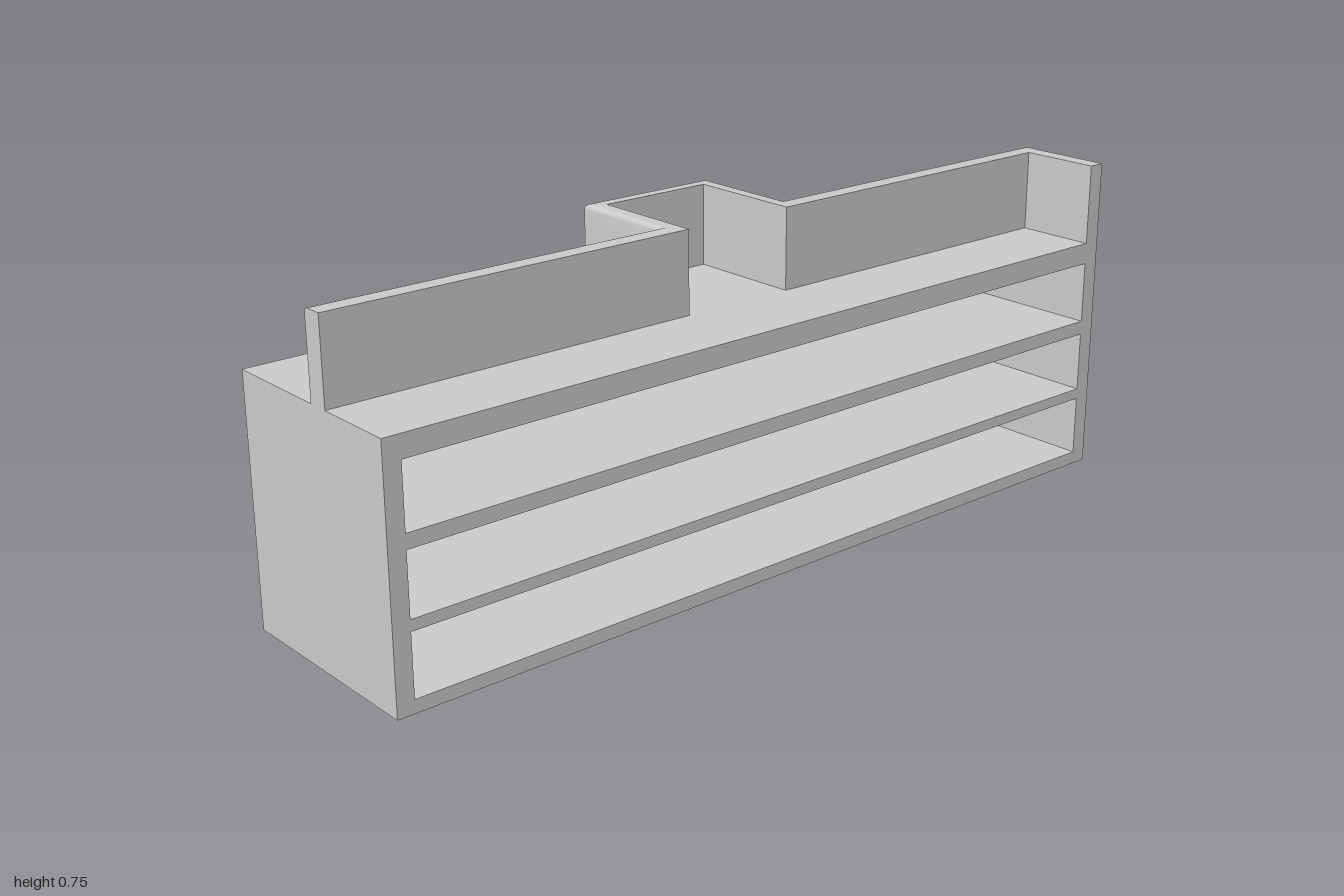
import * as THREE from 'three';
import { toCreasedNormals } from 'three/addons/utils/BufferGeometryUtils.js';

const material = new THREE.MeshStandardMaterial({ color: 0xcccccc });
const COUNTER = 0.562, TOP = 0.75, BACK = -0.215;

// Rectangle outline as a shape or a hole
function rect(target, x0, y0, x1, y1) {
  target.moveTo(x0, y0);
  target.lineTo(x1, y0);
  target.lineTo(x1, y1);
  target.lineTo(x0, y1);
  target.closePath();
  return target;
}

// Wall swept through stations [outerX, outerZ, innerX, innerZ, roundX, roundZ],
// with its outer top edge rounded by radius r
function wall(stations, y0, y1, r = 0) {
  const sections = stations.map(([ox, oz, ix, iz, dx, dz]) => {
    const pts = [[ox, y0, oz]];
    const steps = r > 0 ? 4 : 0;
    for (let k = 0; k <= steps; k++) {
      const a = steps ? (k / steps) * Math.PI / 2 : 0;
      const o = r * (1 - Math.cos(a));
      pts.push([ox + dx * o, y1 - r + r * Math.sin(a), oz + dz * o]);
    }
    pts.push([ix, y1, iz], [ix, y0, iz]);
    return pts;
  });
  const pos = [];
  const tri = (a, b, c) => pos.push(...a, ...b, ...c);
  const n = sections[0].length;
  for (let i = 0; i < sections.length - 1; i++) {
    for (let j = 0; j < n; j++) {
      const k = (j + 1) % n, s = sections[i], t = sections[i + 1];
      tri(s[j], s[k], t[k]);
      tri(s[j], t[k], t[j]);
    }
  }
  // End caps
  const first = sections[0], last = sections[sections.length - 1];
  for (let j = 1; j < n - 1; j++) {
    tri(first[0], first[j + 1], first[j]);
    tri(last[0], last[j], last[j + 1]);
  }
  const g = new THREE.BufferGeometry();
  g.setAttribute('position', new THREE.Float32BufferAttribute(pos, 3));
  g.computeVertexNormals();
  return toCreasedNormals(g, 0.6);
}

export function createModel() {
  const group = new THREE.Group();
  const add = (name, geometry) => {
    const mesh = new THREE.Mesh(geometry, material);
    mesh.name = name;
    group.add(mesh);
  };
  const box = (name, x0, x1, y0, y1, z0, z1) => add(name,
    new THREE.BoxGeometry(x1 - x0, y1 - y0, z1 - z0)
      .translate((x0 + x1) / 2, (y0 + y1) / 2, (z0 + z1) / 2));

  // Counter body with three long open shelves
  const face = rect(new THREE.Shape(), -1, 0, 1, COUNTER);
  for (const [y0, y1] of [[0.03, 0.17], [0.195, 0.335], [0.368, 0.512]]) {
    face.holes.push(rect(new THREE.Path(), -0.96, y0, 0.96, y1));
  }
  add('shelfBody', new THREE.ExtrudeGeometry(face, { depth: 0.25 - BACK, bevelEnabled: false })
    .rotateY(Math.PI / 2).translate(BACK, 0, 0));
  box('backPanel', -0.25, BACK, 0, COUNTER, -1, 1);

  // Upstand running along the counter, stepping back around a central bay
  const frontHalf = [
    [0.01, 1, 0.06, 1, 1, 0],
    [0.01, 0.155, 0.06, 0.12, 1, -1],
    [-0.25, 0.155, BACK, 0.12, 1, -1],
  ];
  const rearHalf = [
    [-0.25, -0.195, BACK, -0.158, 1, 1],
    [0.01, -0.195, 0.06, -0.158, 1, 1],
    [0.01, -1, 0.06, -1, 1, 0],
  ];
  // The lower band leaves a small hatch in the back of the bay
  const jamb = z => [-0.25, z, BACK, z, 1, 0];
  const HATCH_TOP = 0.63;
  add('upstandLowerFront', wall([...frontHalf, jamb(0.027)], COUNTER, HATCH_TOP));
  add('upstandLowerRear', wall([jamb(-0.06), ...rearHalf], COUNTER, HATCH_TOP));
  add('upstandUpper', wall([...frontHalf, ...rearHalf], HATCH_TOP, TOP, 0.011));

  // Raised end wall
  box('endWall', 0.06, 0.25, COUNTER, TOP, -1, -0.96);
  return group;
}
